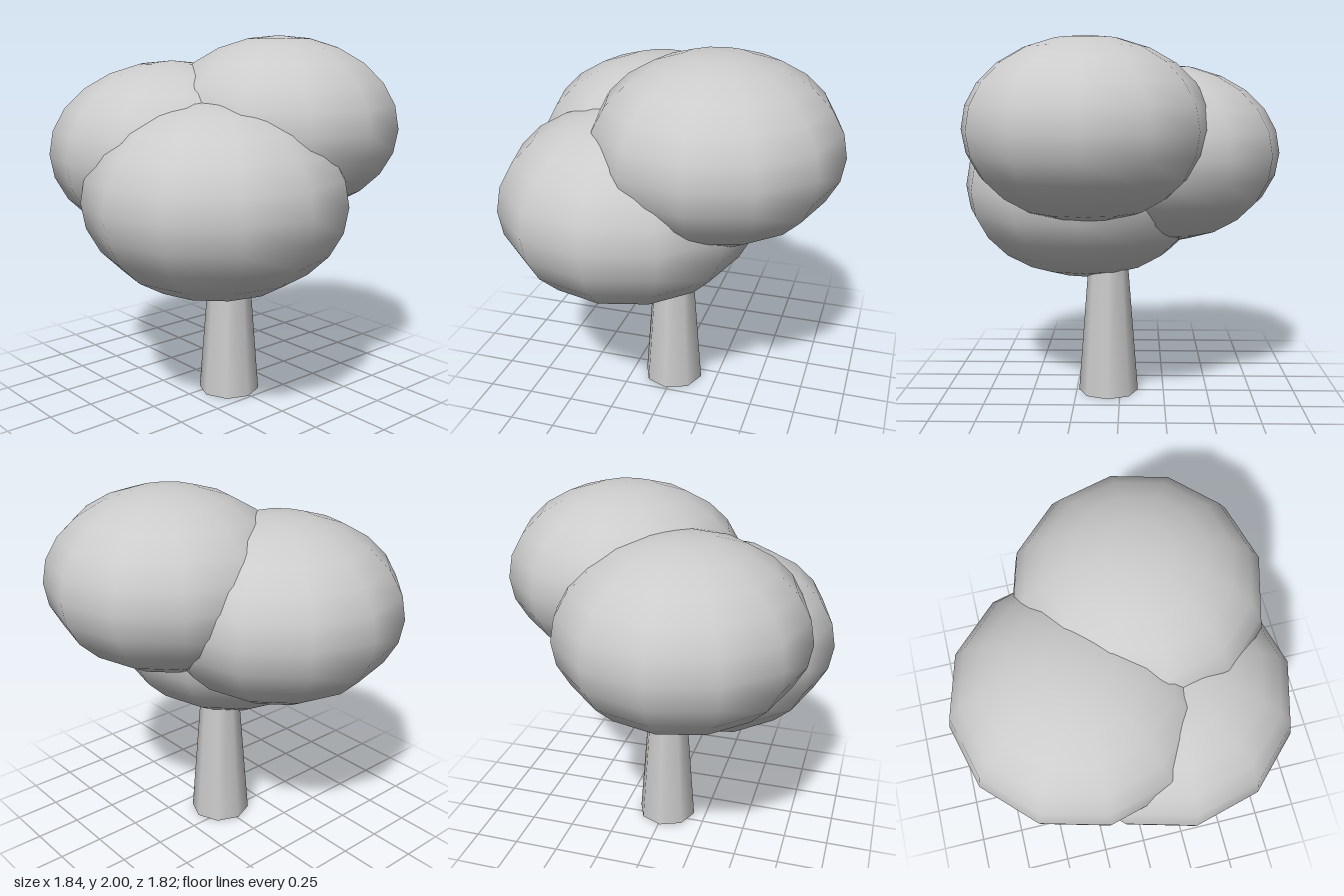
import * as THREE from 'three';

const material = new THREE.MeshStandardMaterial({ color: 0xcccccc, side: THREE.DoubleSide });

// Squashed leaf clump: twelve-sided, smooth shaded
function makeClump(name, [x, y, z], radius, halfHeight) {
  const geometry = new THREE.SphereGeometry(1, 12, 12);
  geometry.scale(radius, halfHeight, radius);
  const mesh = new THREE.Mesh(geometry, material);
  mesh.name = name;
  mesh.position.set(x, y, z);
  return mesh;
}

export function createModel() {
  const tree = new THREE.Group();
  tree.name = 'tree';

  // Tapered trunk, open at both ends, running up into the foliage
  const height = 0.9;
  const trunk = new THREE.Mesh(
    new THREE.CylinderGeometry(0.1, 0.17, height, 8, 1, true),
    material
  );
  trunk.name = 'trunk';
  trunk.position.set(-0.01, height / 2, 0.067);
  tree.add(trunk);

  // Three overlapping foliage clumps
  const foliage = new THREE.Group();
  foliage.name = 'foliage';
  foliage.add(
    makeClump('lowerFrontClump', [-0.216, 1.166, 0.202], 0.705, 0.522),
    makeClump('backClump', [-0.17, 1.362, -0.232], 0.68, 0.502),
    makeClump('upperClump', [0.253, 1.515, 0.172], 0.662, 0.485)
  );
  tree.add(foliage);

  return tree;
}
